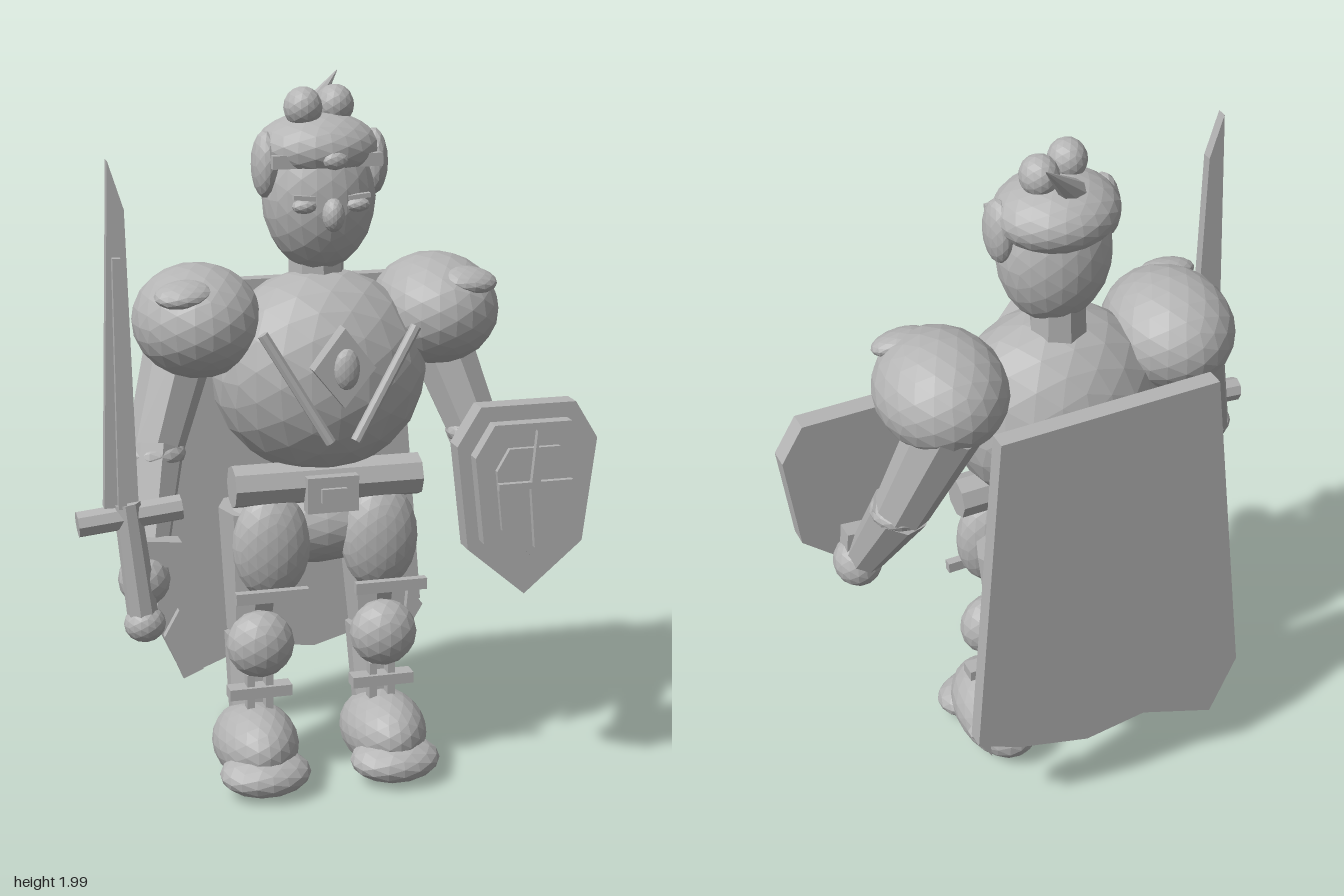
import * as THREE from 'three';

const steel = new THREE.MeshStandardMaterial({ color: 0xb4b4b4 });
steel.name = 'plainGrey';

export function createModel() {
  const model = new THREE.Group();
  model.name = 'knight';

  // Faceted mesh from any geometry
  function add(name, geo, parent = model) {
    const g = geo.index ? geo.toNonIndexed() : geo;
    g.computeVertexNormals();
    const mesh = new THREE.Mesh(g, steel);
    mesh.name = name;
    parent.add(mesh);
    return mesh;
  }
  function blob(name, p, r, detail = 2, rot = [0, 0, 0]) {
    const m = add(name, new THREE.IcosahedronGeometry(1, detail));
    m.position.set(...p);
    m.scale.set(...r);
    m.rotation.set(...rot);
    return m;
  }
  function box(name, p, s, rot = [0, 0, 0]) {
    const m = add(name, new THREE.BoxGeometry(...s));
    m.position.set(...p);
    m.rotation.set(...rot);
    return m;
  }
  // Tapered cylinder running from point a to point b
  function limb(name, a, b, ra, rb, sides = 8) {
    const A = new THREE.Vector3(...a), B = new THREE.Vector3(...b);
    const dir = B.clone().sub(A);
    const m = add(name, new THREE.CylinderGeometry(rb, ra, dir.length(), sides));
    m.position.copy(A).add(B).multiplyScalar(0.5);
    m.quaternion.setFromUnitVectors(new THREE.Vector3(0, 1, 0), dir.normalize());
    return m;
  }
  // Flat outline in x and y, extruded from z0 to z1
  function plate(name, pts, z0, z1) {
    const shape = new THREE.Shape(pts.map(([x, y]) => new THREE.Vector2(x, y)));
    const m = add(name, new THREE.ExtrudeGeometry(shape, { depth: z1 - z0, bevelEnabled: false }));
    m.position.z = z0;
    return m;
  }

  // Head and face
  limb('neck', [0, 1.4, -0.04], [0, 1.58, -0.04], 0.08, 0.075);
  blob('head', [0, 1.68, -0.015], [0.155, 0.2, 0.14], 3);
  blob('hairCap', [0, 1.81, -0.03], [0.168, 0.095, 0.155], 3);
  blob('hairTuft', [-0.05, 1.92, 0.01], [0.052, 0.055, 0.055]);
  blob('hairTuft', [0.05, 1.92, -0.035], [0.052, 0.055, 0.055]);
  limb('hairSpike', [-0.02, 1.88, -0.085], [0.09, 2, -0.155], 0.036, 0.001);
  box('headband', [0, 1.785, 0.07], [0.3, 0.035, 0.025]);
  blob('headbandGem', [0.01, 1.79, 0.115], [0.035, 0.025, 0.02], 1);
  blob('nose', [0, 1.65, 0.135], [0.03, 0.045, 0.033]);

  // Torso
  blob('torso', [0, 1.2, -0.013], [0.3, 0.285, 0.233], 3);
  blob('pelvis', [0, 0.76, -0.09], [0.25, 0.13, 0.18], 3);
  limb('belt', [-0.265, 0.905, 0.06], [0.265, 0.905, 0.06], 0.06, 0.06);
  box('buckle', [0, 0.885, 0.12], [0.145, 0.1, 0.04]);
  box('buckleCentre', [0, 0.885, 0.143], [0.07, 0.04, 0.02]);
  plate('chestDiamond', [[0, 1.155], [0.085, 1.26], [0, 1.37], [-0.085, 1.26]], 0.2, 0.25);
  blob('chestGem', [0, 1.265, 0.268], [0.035, 0.056, 0.022]);

  // Mirrored parts
  for (const s of [-1, 1]) {
    blob('sideHair', [s * 0.15, 1.77, -0.005], [0.037, 0.09, 0.06]);
    blob('eye', [s * 0.073, 1.672, 0.11], [0.034, 0.02, 0.026], 1);
    box('eyebrow', [s * 0.075, 1.695, 0.115], [0.06, 0.012, 0.02], [0, 0, s * 0.1]);
    limb('chestStrap', [s * 0.21, 1.355, 0.2], [s * 0.035, 1.06, 0.235], 0.015, 0.015);

    // Arms
    blob('shoulderGuard', [s * 0.335, 1.355, -0.03], [0.177, 0.155, 0.205], 3);
    blob('shoulderBoss', [s * 0.395, 1.45, 0.09], [0.08, 0.032, 0.058], 2, [0.3, 0, -s * 0.1]);
    limb('upperArm', [s * 0.35, 1.32, -0.125], [s * 0.46, 1, -0.03], 0.1, 0.078);
    blob('elbow', [s * 0.46, 0.995, -0.02], [0.085, 0.045, 0.085]);
    limb('forearm', [s * 0.46, 1, -0.025], [s * 0.515, 0.735, 0.13], 0.082, 0.055);
    box('wristGuard', [s * 0.5, 0.775, 0.165], [0.13, 0.07, 0.055], [0, 0, s * 0.1]);
    blob('hand', [s * 0.53, 0.7, 0.16], [0.07, 0.075, 0.075]);

    // Legs
    limb('thigh', [s * 0.17, 0.8, -0.09], [s * 0.18, 0.43, -0.115], 0.1, 0.064);
    blob('thighGuard', [s * 0.155, 0.73, 0.06], [0.11, 0.155, 0.075], 3);
    box('thighStrap', [s * 0.17, 0.605, 0.125], [0.205, 0.032, 0.025]);
    blob('knee', [s * 0.18, 0.43, 0.025], [0.097, 0.097, 0.077]);
    limb('shin', [s * 0.18, 0.42, -0.105], [s * 0.185, 0.17, -0.08], 0.074, 0.062);
    box('shinStrap', [s * 0.18, 0.285, 0.01], [0.18, 0.032, 0.05]);
    for (const d of [-0.027, 0.027])
      box('shinRod', [s * 0.18 + d, 0.275, 0.005], [0.022, 0.12, 0.035]);
    blob('foot', [s * 0.19, 0.125, -0.005], [0.12, 0.112, 0.185], 3, [-0.12, 0, 0]);
    blob('toeCap', [s * 0.19, 0.08, 0.118], [0.13, 0.06, 0.098], 2, [0.1, 0, 0]);
  }

  // Cape with ragged hem
  plate('cape', [[-0.3, 1.4], [-0.41, 0.385], [-0.33, 0.21], [-0.11, 0.295], [0.07, 0.27],
    [0.28, 0.33], [0.405, 0.39], [0.32, 1.4]], -0.375, -0.325);
  plate('capeTatter', [[-0.345, 0.43], [-0.39, 0.35], [-0.335, 0.215], [-0.275, 0.24]], -0.327, -0.3);
  plate('capeTatter', [[0.36, 0.44], [0.405, 0.38], [0.345, 0.28]], -0.327, -0.3);

  // Sword
  plate('swordBlade', [[-0.64, 0.92], [-0.55, 0.92], [-0.57, 1.7], [-0.61, 1.825]], 0.185, 0.215);
  box('bladeRidge', [-0.595, 1.25, 0.222], [0.022, 0.66, 0.025]);
  limb('swordGuard', [-0.71, 0.878, 0.2], [-0.435, 0.905, 0.2], 0.035, 0.035);
  limb('swordGrip', [-0.58, 0.93, 0.205], [-0.543, 0.6, 0.21], 0.036, 0.042);
  blob('swordPommel', [-0.54, 0.593, 0.212], [0.056, 0.05, 0.052]);

  // Layered shield with a cross
  const shieldOutline = [[-0.135, 1.145], [-0.2, 1.04], [-0.165, 0.75], [0, 0.61],
    [0.165, 0.75], [0.2, 1.04], [0.135, 1.145]];
  const layers = [['shieldBack', 1, 1, 0.24, 0.3], ['shieldFace', 0.81, 0.83, 0.3, 0.34],
    ['shieldEmblem', 0.53, 0.57, 0.34, 0.355]];
  for (const [name, sx, sy, z0, z1] of layers)
    plate(name, shieldOutline.map(([x, y]) => [0.4975 + x * sx, 0.9 + (y - 0.9) * sy]), z0, z1);
  plate('crossUpright', [[0.4975, 0.765], [0.512, 0.93], [0.4975, 1.09], [0.483, 0.93]], 0.355, 0.372);
  box('crossBar', [0.4975, 0.94, 0.363], [0.21, 0.018, 0.018]);

  return model;
}
